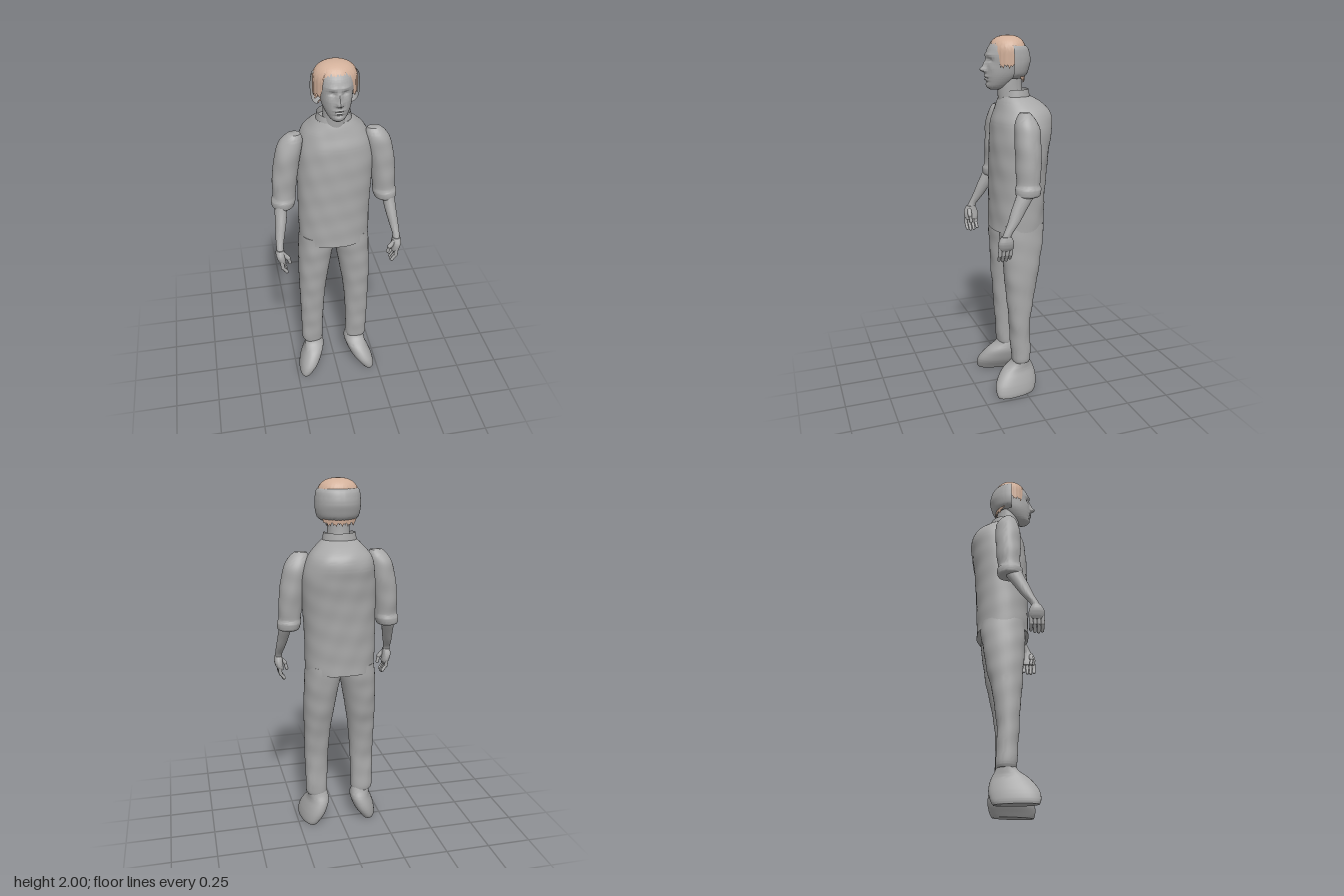
import * as THREE from 'three';
import { toCreasedNormals } from 'three/addons/utils/BufferGeometryUtils.js';

const grey = new THREE.MeshStandardMaterial({ color: 0xa8a8a8, side: THREE.DoubleSide });
grey.name = 'plain grey';
const tan = new THREE.MeshStandardMaterial({ color: 0xd2b09a, side: THREE.DoubleSide });
tan.name = 'hair tan';

function add(parent, name, geo, mat = grey) {
  const m = new THREE.Mesh(geo, mat);
  m.name = name;
  parent.add(m);
  return m;
}

// Catmull-Rom blend of rows of numbers, t in 0..1
function blend(rows, t) {
  const n = rows.length - 1, s = Math.min(t * n, n - 1e-6), i = Math.floor(s), f = s - i;
  const r = k => rows[Math.max(0, Math.min(n, k))];
  return rows[i].map((b, k) => {
    const a = r(i - 1)[k], c = r(i + 1)[k], d = r(i + 2)[k];
    return b + 0.5 * f * (c - a + f * (2 * a - 5 * b + 4 * c - d + f * (3 * (b - c) + d - a)));
  });
}

// Grid surface from a point rule p(u, v), v running upwards
function sheet(nu, nv, point, capped = false) {
  const pos = [], idx = [], w = nu + 1;
  for (let j = 0; j <= nv; j++)
    for (let i = 0; i <= nu; i++) pos.push(...point(i / nu, j / nv));
  for (let j = 0; j < nv; j++)
    for (let i = 0; i < nu; i++) {
      const a = j * w + i, b = a + w;
      idx.push(a, b, a + 1, a + 1, b, b + 1);
    }
  if (capped) for (const j of [0, nv]) {
    const c = [0, 0, 0], k = pos.length / 3;
    for (let i = 0; i < nu; i++) for (let q = 0; q < 3; q++) c[q] += pos[(j * w + i) * 3 + q] / nu;
    pos.push(...c);
    for (let i = 0; i < nu; i++) {
      const a = j * w + i;
      if (j) idx.push(k, a + 1, a); else idx.push(k, a, a + 1);
    }
  }
  const g = new THREE.BufferGeometry();
  g.setAttribute('position', new THREE.Float32BufferAttribute(pos, 3));
  g.setIndex(idx);
  return toCreasedNormals(g, 0.9);
}

// Body built from rows [y, xMin, xMax, zBack, zFront], mirrored by side
function loft(rows, { side = 1, power = 2, nu = 36, nv = 40, shear = 0, warp = p => p } = {}) {
  const e = 2 / power, sp = v => Math.sign(v) * Math.abs(v) ** e;
  return sheet(nu, nv, (u, v) => {
    const [y, x0, x1, z0, z1] = blend(rows, v), a = u * Math.PI * 2;
    const dz = sp(Math.sin(a)) * (z1 - z0) / 2;
    const x = (x0 + x1) / 2 * side + sp(Math.cos(a)) * (x1 - x0) / 2 + dz * shear * side;
    return warp([x, y, (z0 + z1) / 2 + dz]);
  }, true);
}

// Rounded finger segment between two points
function bone(parent, name, a, b, r) {
  const A = new THREE.Vector3(...a), B = new THREE.Vector3(...b), d = B.clone().sub(A);
  const m = add(parent, name, new THREE.CapsuleGeometry(r, d.length(), 5, 10));
  m.position.copy(A).add(B).multiplyScalar(0.5);
  m.quaternion.setFromUnitVectors(new THREE.Vector3(0, 1, 0), d.normalize());
}

const bump = (x, y, cx, cy, sx, sy) => Math.exp(-(((x - cx) / sx) ** 2) - ((y - cy) / sy) ** 2);

// Face relief: nose, brow, eye sockets, lips, chin
function faceRelief([x, y, z]) {
  if (z < 0.06) return [x, y, z];
  const ax = Math.abs(x);
  z += 0.030 * bump(x, y, 0, 1.826, 0.013, 0.014) + 0.016 * bump(x, y, 0, 1.852, 0.010, 0.022)
    + 0.008 * bump(ax, y, 0.014, 1.822, 0.008, 0.008)
    - 0.014 * bump(ax, y, 0.032, 1.874, 0.017, 0.011) + 0.006 * bump(ax, y, 0.03, 1.9, 0.028, 0.01)
    + 0.008 * bump(x, y, 0, 1.791, 0.024, 0.006) - 0.006 * bump(x, y, 0, 1.783, 0.026, 0.003)
    + 0.008 * bump(x, y, 0, 1.775, 0.020, 0.006) - 0.005 * bump(x, y, 0, 1.762, 0.022, 0.006)
    + 0.005 * bump(x, y, 0, 1.743, 0.02, 0.012) + 0.004 * bump(ax, y, 0.05, 1.835, 0.016, 0.02);
  return [x, y, z];
}

// Soft cloth folds
const folds = k => ([x, y, z]) => {
  const f = k * Math.sin(y * 37 + x * 23) * Math.sin(x * 31 - y * 13 + z * 19);
  return [x + f * Math.sign(x) * 0.4, y, z + f * Math.sign(z)];
};

function buildHead(root) {
  const head = new THREE.Group();
  head.name = 'head';
  root.add(head);
  add(head, 'face', loft([
    [1.722, -0.022, 0.022, 0.085, 0.135], [1.735, -0.04, 0.04, 0.05, 0.149],
    [1.76, -0.057, 0.057, 0.015, 0.155], [1.80, -0.074, 0.074, -0.03, 0.160],
    [1.85, -0.083, 0.083, -0.05, 0.156], [1.90, -0.088, 0.088, -0.05, 0.154],
    [1.945, -0.082, 0.082, -0.04, 0.136], [1.975, -0.06, 0.06, -0.01, 0.1],
    [1.988, -0.02, 0.02, 0.02, 0.05],
  ], { nu: 96, nv: 96, power: 2.15, warp: faceRelief }));
  add(head, 'neck', loft([
    [1.64, -0.07, 0.07, -0.06, 0.085], [1.70, -0.062, 0.062, -0.045, 0.09],
    [1.75, -0.06, 0.06, -0.04, 0.09], [1.80, -0.06, 0.06, -0.04, 0.08],
  ], { nv: 12 }));
  for (const s of [-1, 1]) {
    const eye = add(head, 'eye', new THREE.SphereGeometry(0.012, 16, 12));
    eye.position.set(s * 0.032, 1.874, 0.126);
    eye.scale.set(1.1, 0.7, 0.8);
  }

  // Hair: flat-topped cap with a ragged hem, short in front, long behind
  const step = THREE.MathUtils.smoothstep;
  add(head, 'hair', sheet(120, 28, (u, v) => {
    const a = u * Math.PI * 2, s = Math.sin(a), i = Math.round(u * 120);
    let hem = 1.765 + 0.08 * step(s, -0.7, 0.0) + 0.11 * step(s, 0.66, 0.84);
    hem += 0.008 * Math.sin(i * 2.1) + 0.005 * Math.sin(i * 0.9);
    const y = 2 - (2 - hem) * (1 - v) ** 2, d = Math.min(1, (2 - y) / 0.09);
    let r = (1 - (1 - d) ** 2.4) ** (1 / 2.4);
    r *= 1 + 0.012 * Math.sin(i * 1.57) * d;
    if (y < 1.85) r *= 1 - (1.85 - y) * 1.2;
    return [Math.cos(a) * 0.111 * r, y, 0.035 + s * (s > 0 ? 0.102 : 0.094) * r];
  }), tan);

  // Half shell around the back of the head
  const shell = [[1.78, 0.088, 0.084], [1.80, 0.112, 0.107], [1.835, 0.122, 0.12], [1.87, 0.124, 0.128],
    [1.91, 0.122, 0.122], [1.938, 0.116, 0.11], [1.952, 0.1, 0.088]];
  add(head, 'backShell', sheet(40, 24, (u, v) => {
    const [y, rx, rz] = blend(shell, v), a = Math.PI * (1 + u);
    return [Math.cos(a) * rx, y, 0.043 + Math.sin(a) * rz];
  }));
}

function buildArm(root, side) {
  const arm = new THREE.Group();
  arm.name = side > 0 ? 'leftArm' : 'rightArm';
  root.add(arm);
  add(arm, 'sleeve', loft([
    [1.195, 0.235, 0.325, -0.025, 0.075], [1.205, 0.222, 0.341, -0.042, 0.088],
    [1.24, 0.212, 0.344, -0.048, 0.09], [1.265, 0.212, 0.335, -0.04, 0.082],
    [1.36, 0.2, 0.333, -0.05, 0.083], [1.46, 0.185, 0.32, -0.055, 0.083],
    [1.54, 0.17, 0.302, -0.053, 0.08], [1.59, 0.165, 0.275, -0.035, 0.065],
    [1.62, 0.175, 0.245, -0.01, 0.045],
  ], { side, warp: folds(0.003) }));
  add(arm, 'forearm', loft([
    [0.985, 0.3, 0.343, 0.138, 0.188], [1.02, 0.303, 0.342, 0.125, 0.172],
    [1.07, 0.29, 0.34, 0.085, 0.148], [1.13, 0.275, 0.335, 0.045, 0.125],
    [1.2, 0.262, 0.33, 0.0, 0.095], [1.25, 0.255, 0.32, -0.015, 0.08],
  ], { side, nv: 24 }));
  add(arm, 'palm', loft([
    [0.925, 0.296, 0.328, 0.125, 0.192], [0.945, 0.297, 0.34, 0.117, 0.2],
    [0.975, 0.3, 0.348, 0.12, 0.2], [1.005, 0.302, 0.344, 0.132, 0.184],
  ], { side, nv: 16, power: 2.4 }));
  for (let i = 0; i < 4; i++) {
    const z = 0.13 + i * 0.02, tip = [0.877, 0.868, 0.866, 0.872][i];
    bone(arm, 'finger', [side * 0.32, 0.94, z], [side * 0.316, 0.903, z + 0.002], 0.0105);
    bone(arm, 'fingertip', [side * 0.316, 0.903, z + 0.002], [side * 0.295, tip, z], 0.009);
  }
  bone(arm, 'thumb', [side * 0.312, 0.985, 0.172], [side * 0.284, 0.955, 0.176], 0.013);
  bone(arm, 'thumbTip', [side * 0.284, 0.955, 0.176], [side * 0.274, 0.92, 0.172], 0.0095);
}

function buildLeg(root, side) {
  const leg = new THREE.Group();
  leg.name = side > 0 ? 'leftLeg' : 'rightLeg';
  root.add(leg);
  add(leg, 'trouserLeg', loft([
    [0.185, 0.078, 0.192, -0.042, 0.058], [0.21, 0.074, 0.2, -0.045, 0.062],
    [0.3, 0.073, 0.2, -0.043, 0.068], [0.42, 0.068, 0.203, -0.042, 0.075],
    [0.6, 0.054, 0.205, -0.068, 0.09], [0.72, 0.036, 0.207, -0.095, 0.1],
    [0.84, 0.016, 0.204, -0.115, 0.108], [0.92, 0, 0.2, -0.128, 0.114],
    [1.0, -0.01, 0.192, -0.13, 0.115],
  ], { side, nv: 60, power: 2.2, warp: folds(0.0025) }));
  add(leg, 'shoe', loft([
    [0, 0.142, 0.228, -0.058, 0.165], [0.02, 0.128, 0.23, -0.07, 0.173],
    [0.06, 0.1, 0.222, -0.08, 0.172], [0.1, 0.082, 0.207, -0.079, 0.152],
    [0.14, 0.07, 0.19, -0.068, 0.118], [0.175, 0.072, 0.185, -0.05, 0.07],
    [0.21, 0.083, 0.185, -0.038, 0.05],
  ], { side, nv: 30, power: 2.2, shear: 0.14 }));
}

export function createModel() {
  const root = new THREE.Group();
  root.name = 'standingFigure';
  buildHead(root);

  // Loose shirt with sloping shoulders
  add(root, 'shirt', loft([
    [0.958, -0.193, 0.195, -0.152, 0.138], [1.05, -0.195, 0.197, -0.153, 0.136],
    [1.2, -0.195, 0.2, -0.16, 0.135], [1.35, -0.193, 0.21, -0.17, 0.134],
    [1.47, -0.188, 0.214, -0.185, 0.13], [1.55, -0.178, 0.2, -0.195, 0.122],
    [1.61, -0.158, 0.172, -0.182, 0.105], [1.655, -0.122, 0.13, -0.138, 0.09],
    [1.685, -0.094, 0.096, -0.085, 0.078],
  ], { nu: 64, nv: 64, power: 2.25, warp: folds(0.002) }));

  // Standing collar, open and lower at the front
  add(root, 'collar', sheet(48, 4, (u, v) => {
    const a = Math.PI / 2 + 0.22 + u * (Math.PI * 2 - 0.44), s = Math.sin(a);
    const top = 1.722 - 0.025 * Math.max(0, s) ** 4, r = 1 - 0.1 * v;
    return [Math.cos(a) * 0.096 * r, 1.665 + (top - 1.665) * v, s * 0.085 * r];
  }));

  for (const side of [1, -1]) {
    buildArm(root, side);
    buildLeg(root, side);
  }
  return root;
}
